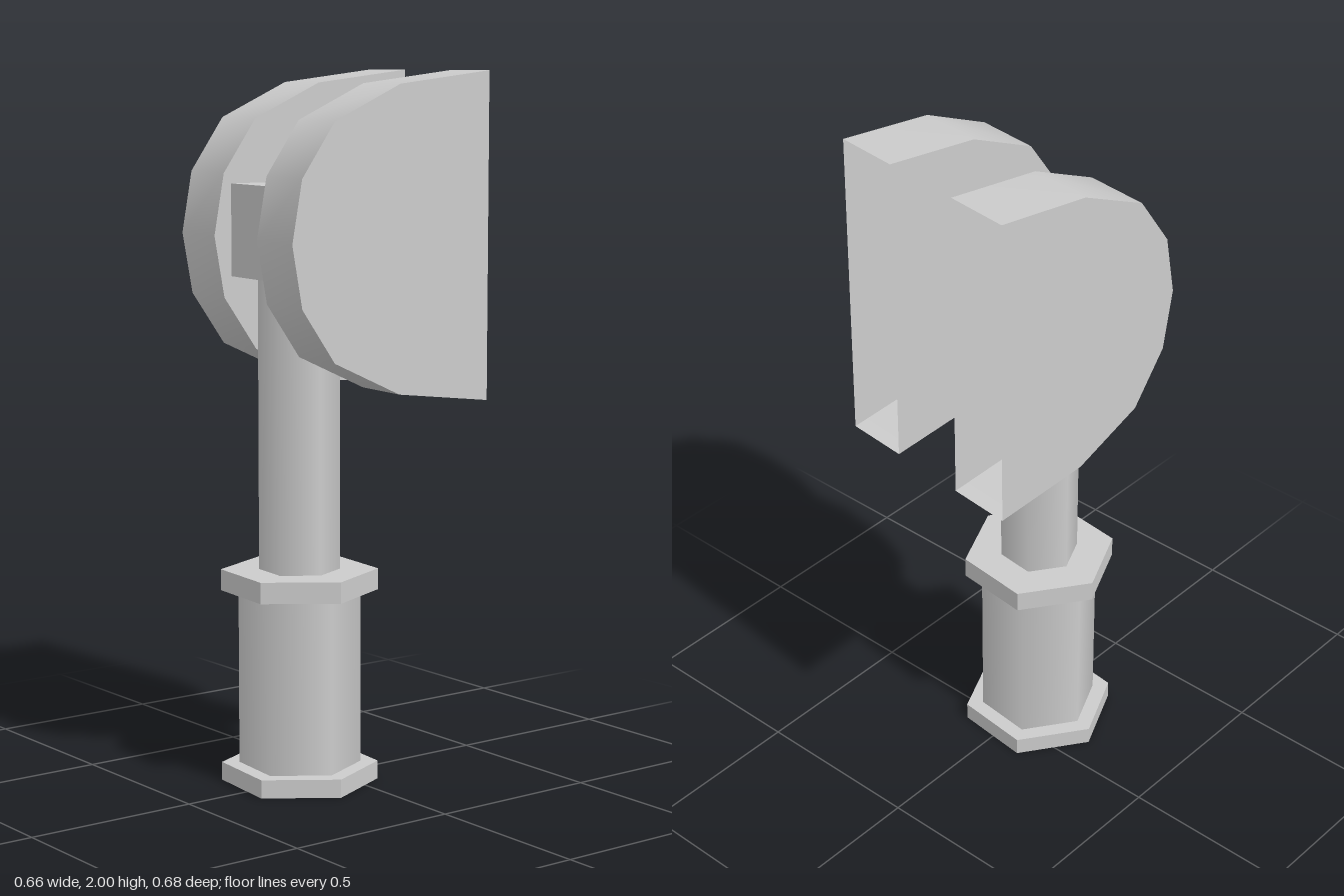
import * as THREE from 'three';

const grey = () => new THREE.MeshStandardMaterial({ color: 0xcccccc });

function addMesh(parent, name, geometry, material = grey()) {
  const mesh = new THREE.Mesh(geometry, material);
  mesh.name = name;
  parent.add(mesh);
  return mesh;
}

// Six-sided prism standing between two heights, flats facing front and back
function hexPrism(radius, y0, y1) {
  return new THREE.CylinderGeometry(radius, radius, y1 - y0, 6)
    .rotateY(Math.PI / 2)
    .translate(0, (y0 + y1) / 2, 0);
}

// Rounded housing profile as (z, y), from bottom rear round the front to top rear
const MID_Y = 1.547;
const upper = [[0.283, 0.172], [0.182, 0.321], [-0.024, 0.418], [-0.3135, 0.453]];
const profile = [
  ...upper.map(([z, h]) => [z, MID_Y - h]).reverse(),
  [0.3135, MID_Y],
  ...upper.map(([z, h]) => [z, MID_Y + h]),
];

// Smooth curved strip between two x positions
function rimGeometry(x0, x1) {
  const positions = [], index = [];
  profile.forEach(([z, y], i) => {
    positions.push(x0, y, z, x1, y, z);
    if (i < profile.length - 1) {
      const a = 2 * i;
      index.push(a, a + 1, a + 3, a, a + 3, a + 2);
    }
  });
  const geometry = new THREE.BufferGeometry();
  geometry.setAttribute('position', new THREE.Float32BufferAttribute(positions, 3));
  geometry.setIndex(index);
  geometry.computeVertexNormals();
  return geometry;
}

// Hollow housing: curved rim, two flat sides, open at the rear
function housing(name, x0, x1) {
  const group = new THREE.Group();
  group.name = name;
  const material = grey();
  material.side = THREE.DoubleSide;
  const shape = new THREE.Shape(profile.map(([z, y]) => new THREE.Vector2(z, y)));
  addMesh(group, 'housingRim', rimGeometry(x0, x1), material);
  for (const [side, x] of [['rightPlate', x0], ['leftPlate', x1]]) {
    const plate = new THREE.ShapeGeometry(shape).rotateY(-Math.PI / 2).translate(x, 0, 0);
    addMesh(group, side, plate, material);
  }
  return group;
}

export function createModel() {
  const model = new THREE.Group();
  model.name = 'twinHousingPost';

  const body = new THREE.Group();
  body.name = 'body';
  body.rotation.y = -0.097;
  model.add(body);

  // Post with two flat hexagonal flanges
  const post = new THREE.Group();
  post.name = 'post';
  post.position.set(-0.003, 0, 0.11);
  body.add(post);
  for (const [name, y0, y1] of [['baseFlange', 0, 0.052], ['upperFlange', 0.55, 0.61]]) {
    const flange = addMesh(post, name, hexPrism(0.2215, y0, y1));
    flange.material.flatShading = true;
  }
  addMesh(post, 'barrel', hexPrism(0.172, 0.052, 0.55));
  addMesh(post, 'pipe', hexPrism(0.114, 0.61, 1.435));

  // Block joining the two housings
  addMesh(body, 'crossBlock',
    new THREE.BoxGeometry(0.233, 0.257, 0.273).translate(0, 1.562, 0.1235));

  // Pair of housings
  body.add(housing('leftHousing', 0.1165, 0.3015));
  body.add(housing('rightHousing', -0.3015, -0.1165));

  return model;
}
